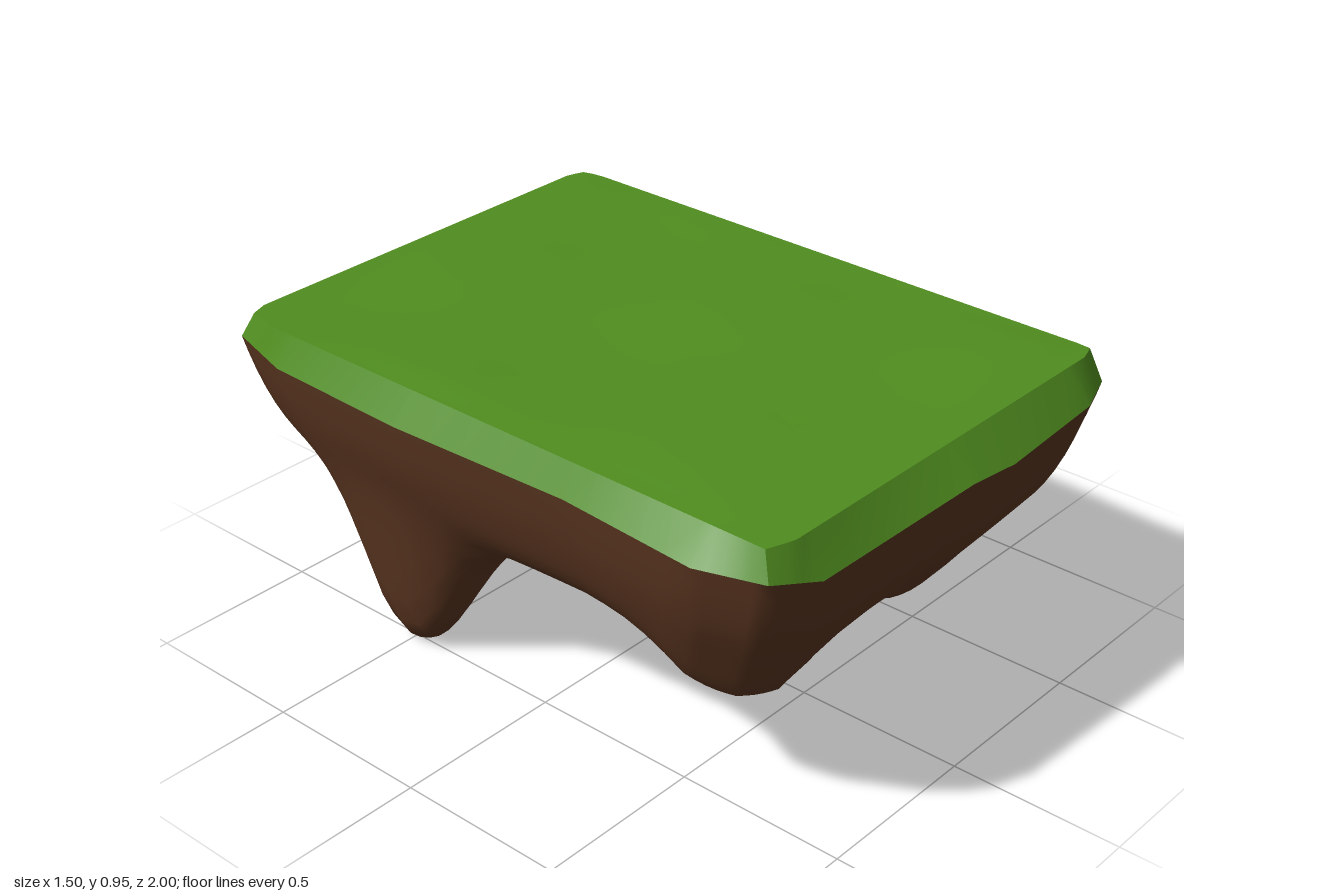
import * as THREE from 'three';
import { toCreasedNormals } from 'three/addons/utils/BufferGeometryUtils.js';

// Rim corners: x, rim height, z (clockwise seen from above)
const RIM = [
  [-0.675, 0.87, -0.94], [-0.55, 0.85, -0.985], [0.2, 0.85, -1], [0.53, 0.85, -0.99],
  [0.67, 0.87, -0.94], [0.72, 0.845, -0.75], [0.725, 0.83, -0.5], [0.75, 0.86, 0], [0.735, 0.87, 0.22],
  [0.73, 0.845, 0.72], [0.68, 0.845, 0.93], [0.54, 0.845, 0.98], [0.17, 0.84, 1], [0, 0.855, 0.995],
  [-0.56, 0.835, 0.97], [-0.7, 0.868, 0.92], [-0.75, 0.86, 0.73],
  [-0.72, 0.86, 0.3], [-0.73, 0.85, -0.28], [-0.715, 0.85, -0.75],
];

// Bumps of the underside: x, z, extra depth, spread in x, spread in z
const BUMPS = [
  [-0.495, -0.487, 0.443, 0.15, 0.157],
  [0.295, 0.53, 0.23, 0.14, 0.145],
  [-0.48, 0.67, 0.12, 0.17, 0.15],
  [-0.2, -0.25, 0.045, 0.17, 0.17],
  [0.2, 0.22, 0.045, 0.15, 0.15],
  [0.35, -0.6, -0.04, 0.3, 0.25],
];

// Straight rim edges cut into short steps
function rimPoints(steps) {
  const pts = [];
  RIM.forEach((p, i) => {
    const a = new THREE.Vector3(...p);
    const b = new THREE.Vector3(...RIM[(i + 1) % RIM.length]);
    for (let k = 0; k < steps; k++) pts.push(a.clone().lerp(b, k / steps));
  });
  return pts;
}

// Skin over closed rings; the last ring is a single point
function loft(rings, down, crease) {
  const n = rings[0].length;
  const pos = rings.flat().flatMap((p) => [p.x, p.y, p.z]);
  const index = [];
  const tri = (a, b, c) => (down ? index.push(a, c, b) : index.push(a, b, c));
  for (let i = 0; i < rings.length - 1; i++) {
    for (let j = 0; j < n; j++) {
      const k = (j + 1) % n;
      const a = i * n + j, b = i * n + k, c = (i + 1) * n + k, d = (i + 1) * n + j;
      tri(a, d, b);
      if (i < rings.length - 2) tri(b, d, c);
    }
  }
  const g = new THREE.BufferGeometry();
  g.setAttribute('position', new THREE.Float32BufferAttribute(pos, 3));
  g.setIndex(index);
  return toCreasedNormals(g, crease);
}

// Underside height: walls steep near the rim but gentler at the back +x corner, then hanging bumps
function dirtHeight(x, z, t, rimY) {
  const corner = Math.exp(-(((x - 0.6) / 0.4) ** 2) - ((z + 0.8) / 0.4) ** 2);
  let depth = 0.42 * (1 - Math.exp(-(1 - t) / (0.1 + 0.13 * corner)));
  const inside = THREE.MathUtils.smoothstep(1 - t, 0.08, 0.25);
  for (const [bx, bz, h, sx, sz] of BUMPS) {
    const q = ((x - bx) / sx) ** 2 / 2 + ((z - bz) / sz) ** 2 / 2;
    depth += inside * h * Math.exp(-(q ** 1.15));
  }
  return Math.max(0, THREE.MathUtils.lerp(0.855, rimY, t) - depth);
}

// Gentle waves of the grass, rounded off toward the edge
function grassHeight(x, z, t) {
  const inside = THREE.MathUtils.smoothstep(1 - t, 0, 0.14);
  return 0.941 + inside * (0.003 + 0.006 * Math.sin(6 * x + 2 * z) * Math.cos(5 * z - 2 * x));
}

export function createModel() {
  const group = new THREE.Group();
  const rim = rimPoints(5);

  // Earth underside
  const dirtRings = [];
  const ROWS = 36;
  for (let i = 0; i <= ROWS; i++) {
    const t = 1 - (i / ROWS) ** 1.25;
    dirtRings.push(rim.map((p) => {
      const x = p.x * t, z = p.z * t;
      return new THREE.Vector3(x, dirtHeight(x, z, t, p.y), z);
    }));
  }
  const dirt = new THREE.Mesh(loft(dirtRings, true, 1.1),
    new THREE.MeshStandardMaterial({ color: 0x5a3520 }));
  dirt.name = 'earthUnderside';

  // Grass cap: bevelled edge, then the nearly flat top
  const { clamp } = THREE.MathUtils;
  const edge = rim.map((p) => new THREE.Vector3(
    clamp(p.x * 0.965, -0.675, 0.66), 0.941, clamp(p.z * 0.965, -0.925, 0.915)));
  const grassRings = [rim];
  for (const t of [1, 0.96, 0.92, 0.85, 0.75, 0.65, 0.55, 0.45, 0.35, 0.25, 0.12, 0]) {
    grassRings.push(edge.map((p) => {
      const x = p.x * t, z = p.z * t;
      return new THREE.Vector3(x, grassHeight(x, z, t), z);
    }));
  }
  const grass = new THREE.Mesh(loft(grassRings, false, 0.5),
    new THREE.MeshStandardMaterial({ color: 0x508d1f }));
  grass.name = 'grassCap';

  group.add(dirt, grass);
  return group;
}
